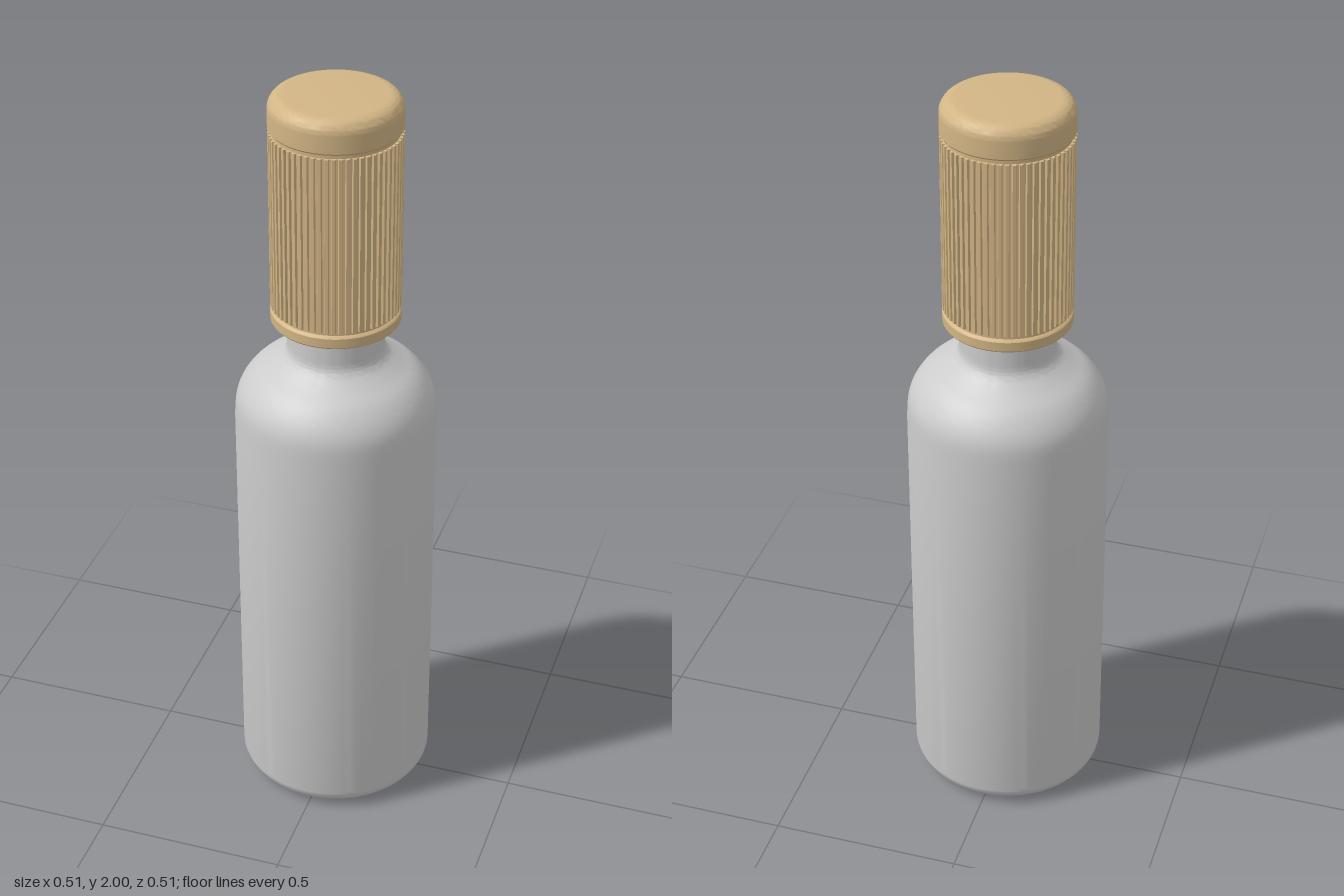
import * as THREE from 'three';
import { toCreasedNormals } from 'three/addons/utils/BufferGeometryUtils.js';

const glass = new THREE.MeshStandardMaterial({ color: 0xcccccc });
const gold = new THREE.MeshStandardMaterial({ color: 0xd2b585 });

// Spin a profile of [radius, height] points, keeping sharp corners crisp
function lathe(name, points, material) {
  const profile = points.map(([r, y]) => new THREE.Vector2(r, y));
  const geometry = toCreasedNormals(new THREE.LatheGeometry(profile, 96), 0.6);
  const mesh = new THREE.Mesh(geometry, material);
  mesh.name = name;
  return mesh;
}

// Quarter-round edge from the side (angle 0) to the top (90) or bottom (-90)
function round(r, y, rx, ry, from, to, steps = 8) {
  return Array.from({ length: steps + 1 }, (_, i) => {
    const a = THREE.MathUtils.degToRad(from + ((to - from) * i) / steps);
    return [r + rx * Math.cos(a), y + ry * Math.sin(a)];
  });
}

// Ring of fine vertical ribs around the cap
function createRibs(count, bottom, top) {
  const shape = new THREE.Shape();
  const step = (Math.PI * 2) / count;
  const valley = 0.157, crest = 0.163;
  for (let i = 0; i < count; i++) {
    [[0, valley], [0.3, valley], [0.42, crest], [0.88, crest]].forEach(([t, r], k) => {
      const a = (i + t) * step;
      const x = r * Math.cos(a), y = r * Math.sin(a);
      if (i + k === 0) shape.moveTo(x, y);
      else shape.lineTo(x, y);
    });
  }
  shape.closePath();
  shape.holes.push(new THREE.Path().absarc(0, 0, 0.15, 0, Math.PI * 2, true));
  const geometry = new THREE.ExtrudeGeometry(shape, { depth: top - bottom, bevelEnabled: false, curveSegments: 48 });
  geometry.rotateX(-Math.PI / 2).translate(0, bottom, 0);
  const mesh = new THREE.Mesh(geometry, gold);
  mesh.name = 'capRibs';
  return mesh;
}

export function createModel() {
  const group = new THREE.Group();
  group.name = 'bottle';

  // Body: rounded base, straight wall, curved shoulder
  const shoulder = new THREE.SplineCurve([
    [0.257, 1.12], [0.252, 1.175], [0.235, 1.215], [0.205, 1.25],
    [0.165, 1.277], [0.135, 1.3], [0.124, 1.318], [0.122, 1.34],
  ].map(([x, y]) => new THREE.Vector2(x, y))).getPoints(32).map((p) => [p.x, p.y]);
  group.add(lathe('bottleBody', [
    [0, 0], ...round(0.187, 0.06, 0.07, 0.06, -90, 0, 12),
    ...shoulder, [0.122, 1.9], [0, 1.9],
  ], glass));

  // Cap: hollow shell with a lower collar, recessed middle and rounded lid
  const cap = new THREE.Group();
  cap.name = 'cap';
  cap.add(lathe('capShell', [
    [0.148, 1.4], [0.16, 1.4], [0.163, 1.404], [0.163, 1.428], [0.16, 1.432], [0.155, 1.434],
    [0.155, 1.915], [0.16, 1.917], [0.163, 1.921],
    ...round(0.128, 1.965, 0.035, 0.035, 0, 90, 10), [0, 2],
  ], gold));
  cap.add(lathe('capInside', [[0, 1.93], [0.148, 1.93], [0.148, 1.4]], gold));
  cap.add(createRibs(60, 1.442, 1.906));
  group.add(cap);
  return group;
}
